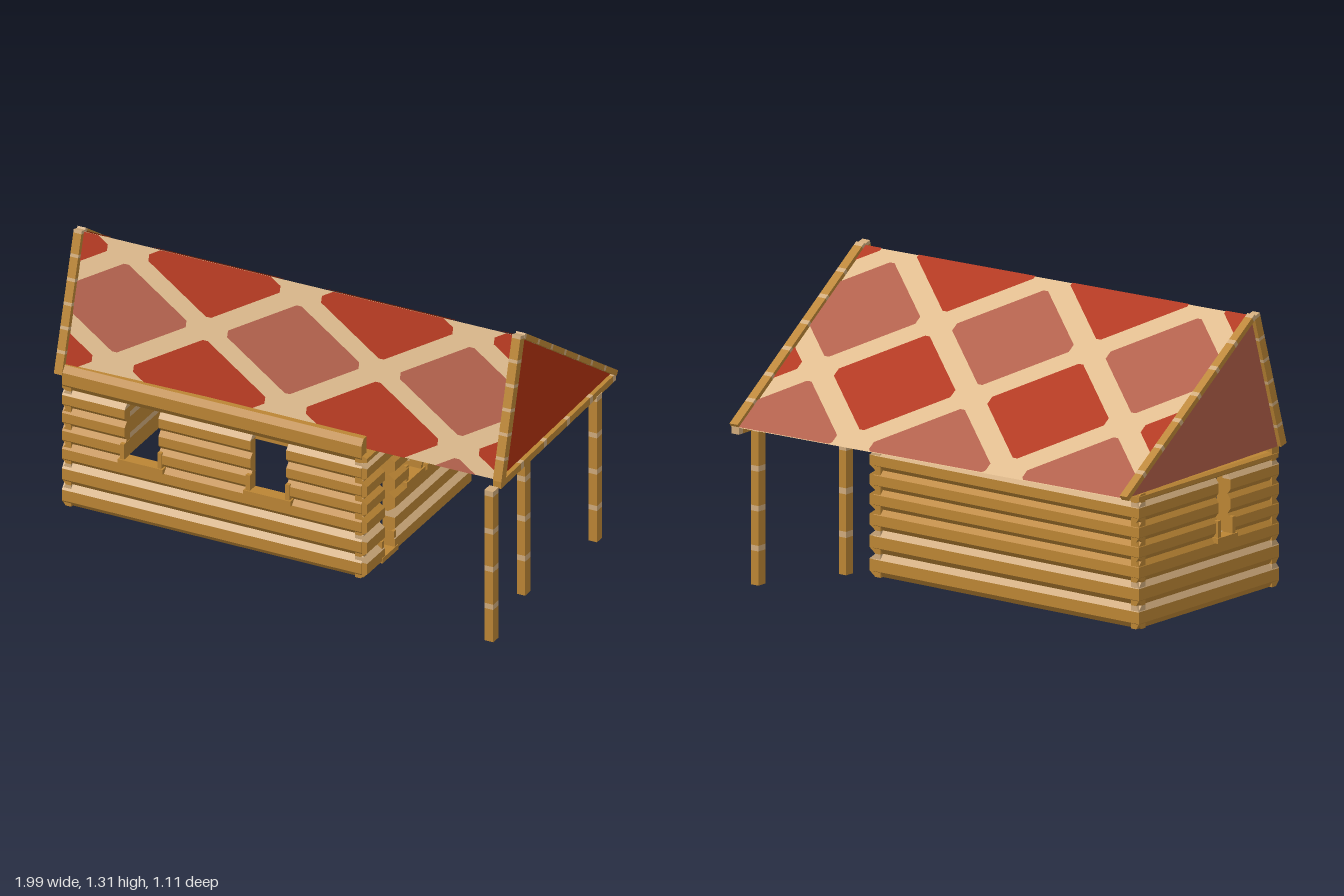
import * as THREE from 'three';
import { mergeGeometries } from 'three/addons/utils/BufferGeometryUtils.js';

const mat = (name, color) => {
  const m = new THREE.MeshStandardMaterial({ color, side: THREE.DoubleSide });
  m.name = name;
  return m;
};
const V = (x, y, z) => new THREE.Vector3(x, y, z);

export function createModel() {
  const model = new THREE.Group();
  model.name = 'logCabin';
  const wood = mat('wood', 0xbb8534);
  const paleWood = mat('paleWood', 0xcfaa7b);
  const red = mat('redRoof', 0xb0310f);
  const pink = mat('pinkRoof', 0xb05d47);
  const cream = mat('creamRoof', 0xdeba8c);

  const add = (name, geos, material, parent = model) => {
    if (!geos.length) return;
    const mesh = new THREE.Mesh(mergeGeometries(geos), material);
    mesh.name = name;
    parent.add(mesh);
  };
  const box = (w, h, d, x, y, z) => new THREE.BoxGeometry(w, h, d).translate(x, y, z);

  // Squared beam between two points, with pale patches along the grain
  const beam = (name, p, q, w, d, parts = 4) => {
    const group = new THREE.Group();
    group.name = name;
    const dir = q.clone().sub(p), len = dir.length();
    dir.normalize();
    const side = Math.abs(dir.y) > 0.99 ? V(1, 0, 0) : V(0, 1, 0).cross(dir).normalize();
    const basis = new THREE.Matrix4().makeBasis(side, dir, side.clone().cross(dir)).setPosition(p);
    const plain = [], pale = [], step = len / parts;
    for (let i = 0; i < parts; i++) {
      plain.push(box(w, step * 0.86, d, 0, (i + 0.43) * step, 0).applyMatrix4(basis));
      pale.push(box(w, step * 0.14, d, 0, (i + 0.93) * step, 0).applyMatrix4(basis));
    }
    add(name + 'Wood', plain, wood, group);
    add(name + 'Patches', pale, paleWood, group);
    model.add(group);
  };

  // Log wall: rows of bevelled strips, interrupted by openings [x0, x1, y0, y1]
  const T = 0.025;
  const wall = (name, a, b, depth, top, openings, pos, turn) => {
    const group = new THREE.Group();
    group.name = name;
    const levels = [0.155, 0.25, 0.345, 0.43, 0.51, 0.59, 0.67, top];
    const plain = [], pale = [];
    for (let i = 0; i < 7; i++) {
      const h = levels[i + 1] - levels[i];
      const profile = [[0, 0], [0.25, depth], [0.75, depth], [1, 0]];
      for (let r = 0; r < 3; r++) {
        const [f0, d0] = profile[r], [f1, d1] = profile[r + 1];
        const y0 = levels[i] + f0 * h, y1 = levels[i] + f1 * h, mid = (y0 + y1) / 2;
        const cuts = openings.filter(o => mid > o[2] && mid < o[3]).sort((m, n) => m[0] - n[0]);
        let start = a;
        for (const [c0, c1] of [...cuts, [b, b]]) {
          const g = new THREE.BoxGeometry(c0 - start, y1 - y0, 1);
          const p = g.attributes.position;
          for (let k = 0; k < p.count; k++) {
            p.setZ(k, p.getZ(k) < 0 ? -T : p.getY(k) > 0 ? d1 : d0);
          }
          g.translate((start + c0) / 2, mid, 0);
          g.computeVertexNormals();
          (r === 2 && [0, 1, 5].includes(i) ? pale : plain).push(g);
          start = c1;
        }
      }
    }
    add(name + 'Logs', plain, wood, group);
    add(name + 'PaleEdges', pale, paleWood, group);

    // Sill and short flared jambs round each opening
    const trim = [];
    for (const [x0, x1, y0] of openings) {
      trim.push(box(x1 - x0 + 0.05, 0.022, T + 0.03, (x0 + x1) / 2, y0 - 0.009, 0.005));
      for (const x of [x0 - 0.008, x1 + 0.008]) trim.push(box(0.018, 0.07, T + 0.024, x, y0 + 0.035, 0.002));
    }
    add(name + 'Sills', trim, wood, group);
    group.position.copy(pos);
    group.rotation.y = turn;
    model.add(group);
  };
  const win = (x0, x1) => [x0, x1, 0.43, 0.67];
  wall('frontWall', -0.945, 0.39, 0.02, 0.775, [win(-0.665, -0.515), win(-0.105, 0.055)], V(0, 0, 0.502), 0);
  wall('backWall', -0.39, 0.945, 0.02, 0.705, [], V(0, 0, -0.352), Math.PI);
  wall('porchWall', -0.515, 0.37, 0.03, 0.705,
    [[-0.365, -0.28, 0.19, 0.605], win(-0.158, -0.05), win(0.02, 0.13)], V(0.382, 0, 0), Math.PI / 2);
  wall('endWall', -0.37, 0.515, 0.015, 0.705, [win(0.135, 0.21)], V(-0.932, 0, 0), -Math.PI / 2);

  // Roof corners: a steep front slope and a long back slope
  const FL = V(-0.96, 0.73, 0.505), FR = V(0.965, 0.71, 0.455);
  const RL = V(-0.96, 1.293, 0.335), RR = V(0.965, 1.278, 0.29);
  const BL = V(-0.975, 0.72, -0.5), BR = V(0.945, 0.71, -0.545);

  // Keep the part of a polygon inside the unit square
  const clip = poly => {
    for (const [axis, sign, limit] of [[0, 1, 0], [0, -1, -1], [1, 1, 0], [1, -1, -1]]) {
      const out = [];
      poly.forEach((p, i) => {
        const q = poly[(i + 1) % poly.length];
        const dp = p[axis] * sign - limit, dq = q[axis] * sign - limit;
        if (dp >= 0) out.push(p);
        if (dp * dq < 0) {
          const t = dp / (dp - dq);
          out.push([p[0] + (q[0] - p[0]) * t, p[1] + (q[1] - p[1]) * t]);
        }
      });
      poly = out;
    }
    return poly;
  };

  // One slope: cream sheet with a lattice of pink and red diamonds laid on it
  const slope = (name, c00, c10, c01, c11, u0, v0, hv) => {
    const normal = c10.clone().sub(c00).cross(c01.clone().sub(c00)).normalize();
    const sheet = (poly, lift) => {
      const g = new THREE.ShapeGeometry(new THREE.Shape(poly.map(p => new THREE.Vector2(...p))));
      const p = g.attributes.position;
      for (let k = 0; k < p.count; k++) {
        const u = p.getX(k), v = p.getY(k);
        const low = c00.clone().lerp(c10, u), high = c01.clone().lerp(c11, u);
        const at = low.lerp(high, v).addScaledVector(normal, lift);
        p.setXYZ(k, at.x, at.y, at.z);
      }
      g.computeVertexNormals();
      return g;
    };
    const hu = 0.38 / 1.925, pinks = [], reds = [];
    for (let j = -3; j <= 3; j++) {
      for (let i = -4; i <= 4; i++) {
        if ((i + j) % 2) continue;
        const s = 0.82, tip = 0.76, e = s - tip;
        const diamond = [[tip, -e], [tip, e], [e / 2, s - e / 2], [-e / 2, s - e / 2],
          [-tip, e], [-tip, -e], [-e / 2, e / 2 - s], [e / 2, e / 2 - s]]
          .map(([x, y]) => [u0 + (i + x) * hu, v0 + (j + y) * hv]);
        const poly = clip(diamond);
        if (poly.length > 2) (j % 2 ? reds : pinks).push(sheet(poly, 0.004));
      }
    }
    const group = new THREE.Group();
    group.name = name;
    add(name + 'Sheet', [sheet([[0, 0], [1, 0], [1, 1], [0, 1]], 0)], cream, group);
    add(name + 'PinkDiamonds', pinks, pink, group);
    add(name + 'RedDiamonds', reds, red, group);
    model.add(group);
  };
  slope('frontRoof', FL, FR, RL, RR, 0.508, 0.545, 0.385);
  slope('backRoof', BR, BL, RR, RL, 0.49, 0.68, 0.325);

  // Gables and the flat ceiling under the roof
  const face = pts => {
    const g = new THREE.BufferGeometry().setFromPoints(pts);
    g.computeVertexNormals();
    return g;
  };
  add('porchGable', [face([FR, BR, RR])], red);
  add('endGable', [face([BL, FL, RL])], pink);
  add('ceiling', [face([FL, BL, FR, BL, BR, FR])], wood);

  // Barge boards along the gable edges
  const shift = (p, x, y, z) => p.clone().add(V(x, y, z));
  beam('porchFrontBoard', shift(FR, 0.008, 0.005, 0.008), shift(RR, 0.008, 0.012, 0.008), 0.038, 0.038, 6);
  beam('porchBackBoard', shift(BR, 0.004, 0.005, -0.005), shift(RR, 0.008, 0.005, -0.005), 0.04, 0.022, 7);
  beam('endFrontBoard', shift(FL, 0, 0.005, 0.005), shift(RL, 0, 0.008, 0.005), 0.036, 0.036, 6);
  beam('endBackBoard', shift(BL, -0.004, 0.005, -0.005), shift(RL, 0, 0.003, -0.005), 0.036, 0.022, 7);
  beam('porchTieBeam', V(0.967, 0.698, 0.47), V(0.945, 0.698, -0.55), 0.036, 0.03, 5);

  // Porch posts
  beam('frontPost', V(0.975, 0.04, 0.533), V(0.975, 0.712, 0.533), 0.04, 0.045);
  beam('middlePost', V(0.873, 0, 0.063), V(0.873, 0.71, 0.063), 0.036, 0.045);
  beam('backPost', V(0.95, 0.04, -0.398), V(0.95, 0.69, -0.398), 0.038, 0.045);

  return model;
}
